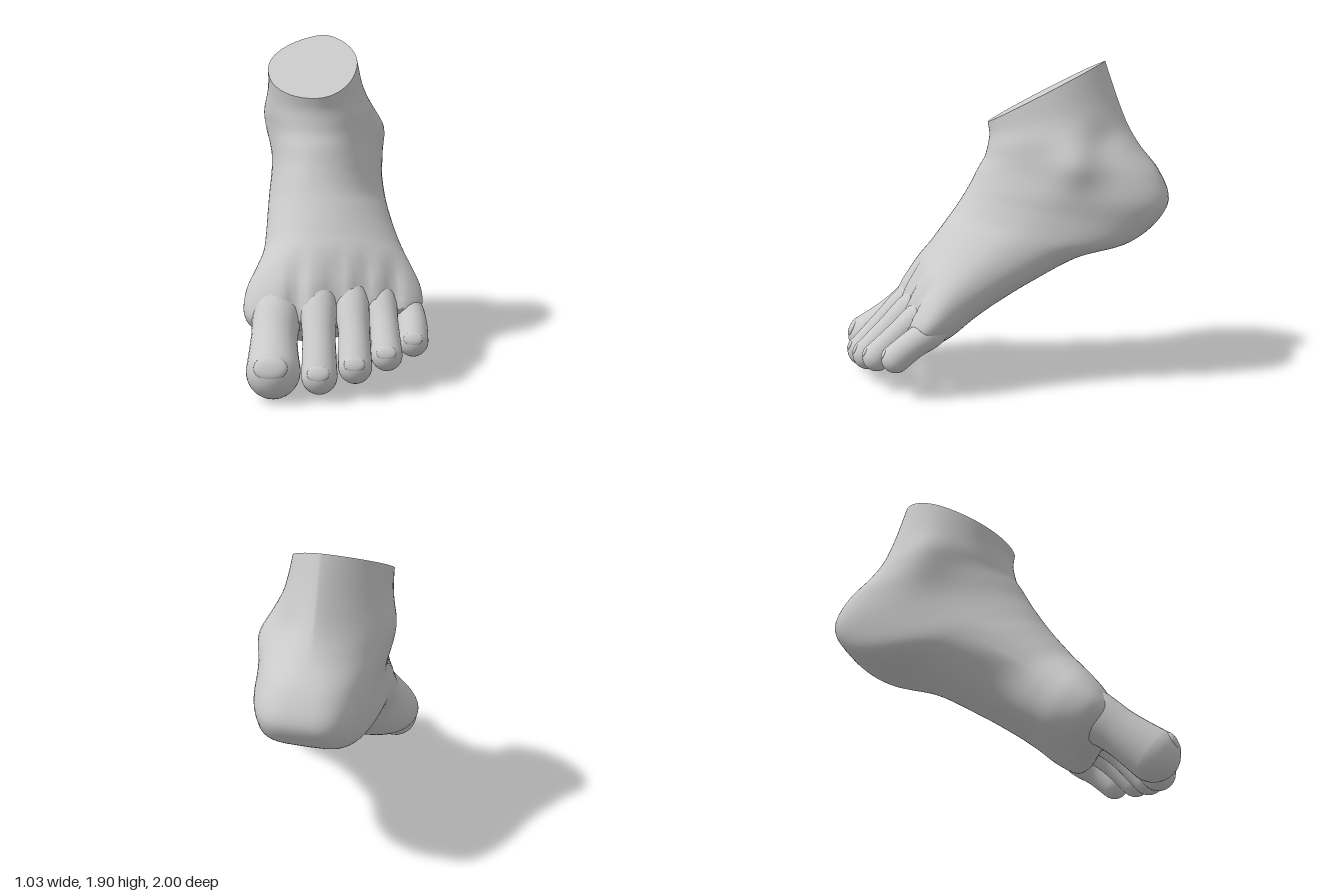
import * as THREE from 'three';

const SEG = 72;
const skin = new THREE.MeshStandardMaterial({ color: 0xcccccc });

// Smooth interpolation through table rows, column by column
function sampleRows(rows, t) {
  const last = rows.length - 1;
  const i = Math.min(Math.floor(t * last), last - 1);
  const f = t * last - i;
  const [a, b, c, d] = [i - 1, i, i + 1, i + 2].map(k => rows[THREE.MathUtils.clamp(k, 0, last)]);
  return b.map((p, k) => {
    const m0 = (c[k] - a[k]) / 2, m1 = (d[k] - p) / 2, e = c[k] - p;
    return p + m0 * f + (3 * e - 2 * m0 - m1) * f * f + (m0 + m1 - 2 * e) * f * f * f;
  });
}

// Skin a list of rings, each an array of Vector3
function loft(rings) {
  const n = rings[0].length, index = [];
  for (let i = 0; i < rings.length - 1; i++) {
    for (let j = 0; j < n; j++) {
      const a = i * n + j, b = i * n + (j + 1) % n;
      index.push(a, a + n, b, b, a + n, b + n);
    }
  }
  const geo = new THREE.BufferGeometry().setFromPoints(rings.flat());
  geo.setIndex(index);
  geo.computeVertexNormals();
  return geo;
}

function centreOf(ring) {
  return ring.reduce((s, p) => s.add(p), new THREE.Vector3()).divideScalar(ring.length);
}

function addMesh(group, name, geo) {
  const mesh = new THREE.Mesh(geo, skin);
  mesh.name = name;
  group.add(mesh);
  return mesh;
}

// Sections fan from the ankle cut round the heel to the toe roots:
// top z, top y, sole z, sole y, min x, max x, sole roundness, toe slant
const SECTIONS = [
  [0.08, 1.54, -0.61, 1.90, -0.47, 0.07, 1.35, 0],
  [0.07, 1.47, -0.68, 1.70, -0.47, 0.10, 1.5, 0],
  [0.08, 1.40, -0.75, 1.53, -0.47, 0.14, 1.4, 0],
  [0.10, 1.33, -0.83, 1.40, -0.46, 0.16, 1.05, 0],
  [0.14, 1.26, -0.94, 1.26, -0.46, 0.18, 0.72, 0],
  [0.18, 1.18, -1.00, 1.10, -0.46, 0.21, 0.6, 0],
  [0.22, 1.11, -0.92, 0.96, -0.46, 0.22, 0.52, 0],
  [0.27, 1.03, -0.76, 0.85, -0.46, 0.24, 0.45, 0],
  [0.32, 0.96, -0.48, 0.77, -0.45, 0.27, 0.48, 0],
  [0.38, 0.88, -0.20, 0.62, -0.44, 0.32, 0.52, 0.05],
  [0.44, 0.80, 0.00, 0.50, -0.44, 0.37, 0.56, 0.10],
  [0.50, 0.73, 0.17, 0.39, -0.47, 0.42, 0.58, 0.16],
  [0.56, 0.65, 0.32, 0.28, -0.51, 0.465, 0.62, 0.22],
  [0.62, 0.56, 0.46, 0.21, -0.51, 0.48, 0.7, 0.27],
  [0.66, 0.47, 0.55, 0.24, -0.47, 0.455, 0.8, 0.30],
  [0.67, 0.40, 0.59, 0.30, -0.42, 0.41, 0.9, 0.30],
];

// Soft bumps pushed sideways: z, y, x push, radius, side
const BUMPS = [
  [-0.46, 1.33, 0.065, 0.14, 1],
  [-0.62, 1.46, -0.03, 0.1, 1],
  [-0.38, 1.39, -0.05, 0.16, -1],
];

// Furrows between the toe bones
const FURROWS = [-0.205, -0.005, 0.155, 0.31];

function bodyRing(t) {
  const [dz, dy, pz, py, xl, xr, round, slant] = sampleRows(SECTIONS, t);
  const mid = THREE.MathUtils.smoothstep(t, 0.4, 0.6);
  const arch = 0.3 * Math.exp(-(((t - 0.62) / 0.1) ** 2));
  const depth = 0.035 * THREE.MathUtils.smoothstep(t, 0.68, 0.95);
  const xc = -0.16 + 0.05 * mid;
  const ring = [];
  for (let j = 0; j < SEG; j++) {
    const a = (j / SEG) * Math.PI * 2;
    const u = Math.cos(a), v = Math.sin(a);
    const power = THREE.MathUtils.lerp(round, 0.95, THREE.MathUtils.smoothstep(u, -0.3, 0.5));
    const w = Math.abs(v) ** power;
    let x = xc + (v > 0 ? xr - xc : xl - xc) * w;
    // The outer edge sits low, the inner sole arches up
    let s = 0.5 - 0.5 * u;
    if (v > 0) s += 0.1 * mid * v * v * (1 - s);
    else s += arch * v * Math.max(0, -u);
    let z = THREE.MathUtils.lerp(dz, pz, s);
    let y = THREE.MathUtils.lerp(dy, py, s);
    const back = slant * Math.max(0, x + 0.15);
    z -= back;
    y += 0.3 * back;
    for (const [bz, by, push, r, side] of BUMPS) {
      if (v * side > 0) x += push * Math.abs(v) * Math.exp(-((z - bz) ** 2 + (y - by) ** 2) / (r * r));
    }
    for (const fx of FURROWS) {
      const cut = depth * THREE.MathUtils.smoothstep(u, 0, 0.5) * Math.exp(-(((x - fx) / 0.045) ** 2));
      y -= cut;
      z -= cut;
    }
    ring.push(new THREE.Vector3(x, y, z));
  }
  return ring;
}

function buildBody(group) {
  const rings = [];
  for (let i = 0; i <= 90; i++) rings.push(bodyRing(i / 90));
  // Rounded closure between the toe roots
  const end = rings[rings.length - 1], c = centreOf(end);
  for (const [k, out] of [[0.8, 0.015], [0.4, 0.025], [0, 0.03]]) {
    rings.push(end.map(p => p.clone().sub(c).multiplyScalar(k).add(c).add(new THREE.Vector3(0, -out, out))));
  }
  addMesh(group, 'footBody', loft(rings));
  // Flat ankle cut
  const rim = rings[0], mid = centreOf(rim);
  addMesh(group, 'ankleCut', loft([rim.map(() => mid.clone()), rim.map(p => p.clone())]));
}

// Toe centre lines as [x, y, z, radius] from buried root over the knuckle to the pad
const TOES = {
  bigToe: [[-0.28, 0.60, 0.33, 0.08], [-0.315, 0.415, 0.52, 0.135], [-0.32, 0.275, 0.69, 0.127], [-0.305, 0.145, 0.85, 0.145]],
  secondToe: [[-0.13, 0.66, 0.34, 0.05], [-0.095, 0.46, 0.54, 0.1], [-0.075, 0.29, 0.71, 0.09], [-0.06, 0.125, 0.85, 0.096]],
  thirdToe: [[0.03, 0.66, 0.28, 0.05], [0.08, 0.46, 0.49, 0.097], [0.11, 0.31, 0.645, 0.086], [0.125, 0.16, 0.78, 0.091]],
  fourthToe: [[0.17, 0.62, 0.21, 0.05], [0.235, 0.45, 0.42, 0.09], [0.27, 0.33, 0.56, 0.08], [0.29, 0.2, 0.69, 0.085]],
  littleToe: [[0.27, 0.5, 0.2, 0.04], [0.375, 0.395, 0.34, 0.085], [0.42, 0.325, 0.45, 0.083], [0.43, 0.24, 0.55, 0.084]],
};

function buildToe(group, name, rows) {
  const toe = new THREE.Group();
  toe.name = name;
  const rings = [];
  const ringAt = (c, dir, r) => {
    const side = new THREE.Vector3(1, 0, 0).addScaledVector(dir, -dir.x).normalize();
    const up = dir.clone().cross(side);
    rings.push(Array.from({ length: 28 }, (_, j) => {
      const a = (j / 28) * Math.PI * 2;
      return c.clone().addScaledVector(up, r * Math.cos(a)).addScaledVector(side, r * Math.sin(a));
    }));
  };
  const at = t => new THREE.Vector3(...sampleRows(rows, t).slice(0, 3));
  let dir;
  for (let i = 0; i <= 24; i++) {
    const t = i / 24;
    dir = at(Math.min(1, t + 0.02)).sub(at(Math.max(0, t - 0.02))).normalize();
    ringAt(at(t), dir, sampleRows(rows, t)[3]);
  }
  // Domed tip
  const tip = at(1), r = rows[3][3];
  for (let k = 1; k <= 8; k++) {
    const f = (k / 8) * Math.PI / 2;
    ringAt(tip.clone().addScaledVector(dir, r * Math.sin(f)), dir, r * Math.cos(f));
  }
  addMesh(toe, name + 'Flesh', loft(rings));
  // Nail set into the upper front of the pad
  const nail = addMesh(toe, name + 'Nail', new THREE.SphereGeometry(1, 20, 12));
  const tilt = 0.45;
  nail.scale.set(r * 0.62, r * 0.2, r * 0.45);
  nail.rotation.x = Math.PI / 2 - tilt;
  nail.position.copy(tip).add(new THREE.Vector3(0, Math.sin(tilt), Math.cos(tilt)).multiplyScalar(r * 0.825));
  group.add(toe);
}

export function createModel() {
  const foot = new THREE.Group();
  foot.name = 'foot';
  buildBody(foot);
  for (const [name, rows] of Object.entries(TOES)) buildToe(foot, name, rows);
  return foot;
}
